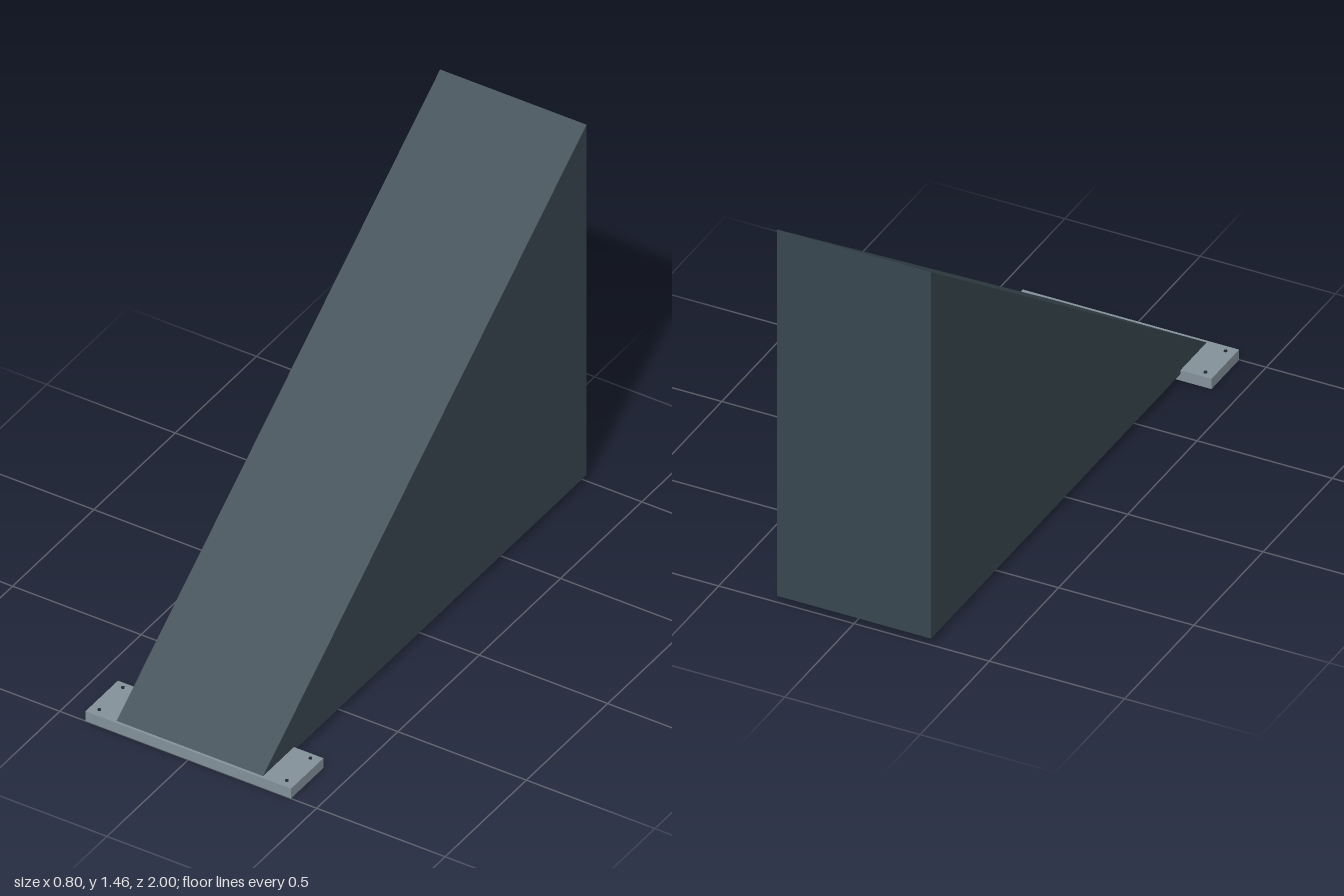
import * as THREE from 'three';

export function createModel() {
  const group = new THREE.Group();
  const panel = new THREE.MeshStandardMaterial({ name: 'dark slate panel', color: 0x37474f });
  const steel = new THREE.MeshStandardMaterial({ name: 'grey steel', color: 0x84929b });
  const bolt = new THREE.MeshStandardMaterial({ name: 'dark bolt', color: 0x22282c });

  const add = (name, geometry, material, x, y, z) => {
    const mesh = new THREE.Mesh(geometry, material);
    mesh.name = name;
    mesh.position.set(x, y, z);
    group.add(mesh);
  };

  // Ramp: side profile as (z, y), extruded across the width
  const width = 0.57;
  const profile = new THREE.Shape([
    [-1, 0.025], [0.99, 0.025], [0.99, 0.04], [-1, 1.46],
  ].map(([z, y]) => new THREE.Vector2(z, y)));
  const ramp = new THREE.ExtrudeGeometry(profile, { depth: width, bevelEnabled: false });
  ramp.rotateY(-Math.PI / 2);
  add('rampWedge', ramp, panel, width / 2, 0, 0);

  // Base plate under the toe of the ramp
  add('basePlate', new THREE.BoxGeometry(0.8, 0.04, 0.2), steel, 0, 0.02, 0.9);

  // Bolt heads at the four plate corners
  const head = new THREE.CylinderGeometry(0.006, 0.006, 0.008, 12);
  for (const x of [-0.365, 0.365])
    for (const z of [0.825, 0.97]) add('plateBolt', head, bolt, x, 0.04, z);

  return group;
}
